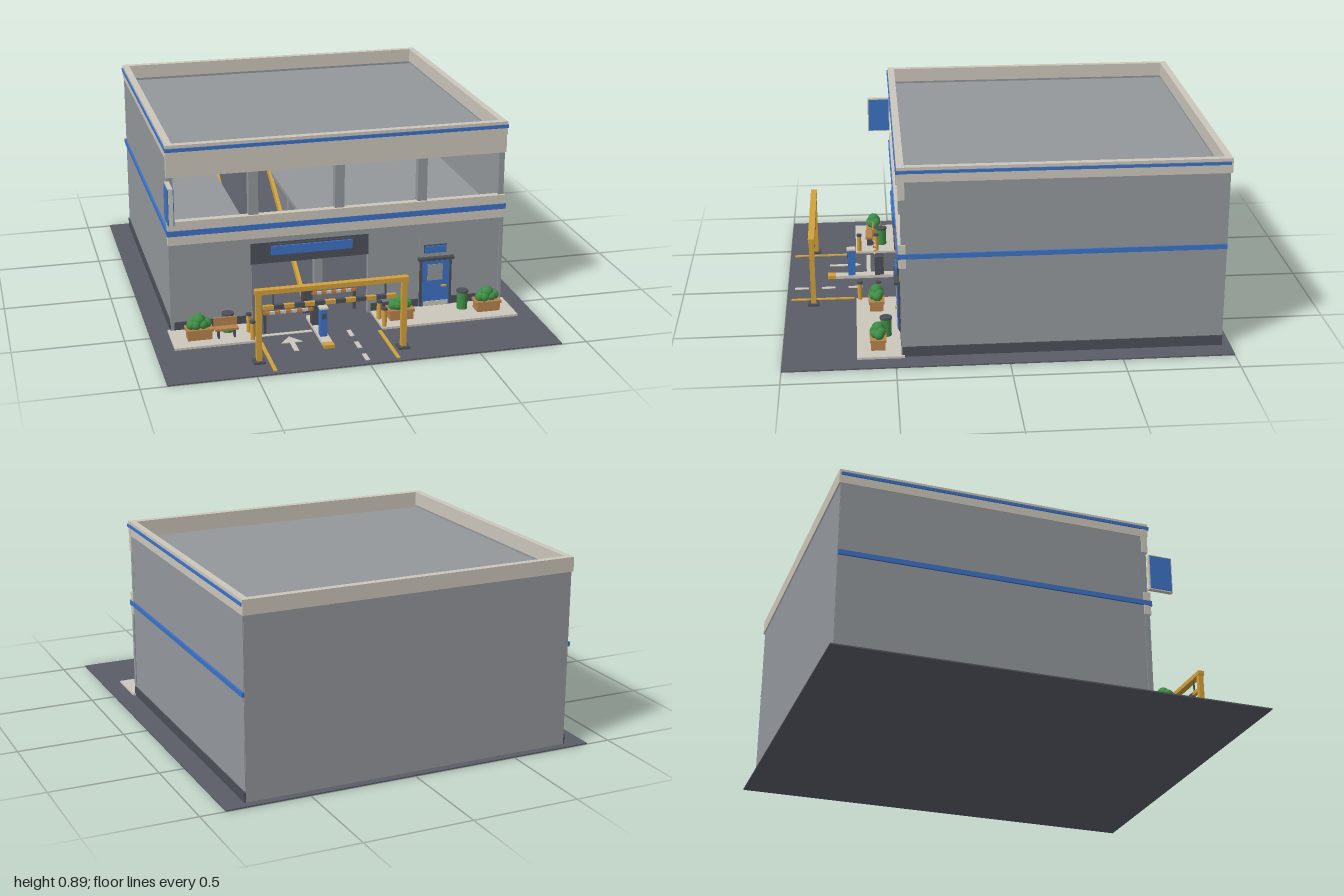
import * as THREE from 'three';

const mat = (name, color, flatShading = false) => {
  const m = new THREE.MeshStandardMaterial({ color, flatShading });
  m.name = name;
  return m;
};

export function createModel() {
  const root = new THREE.Group();
  root.name = 'parkingGarage';
  const cream = mat('cream concrete', 0xcbc6bb);
  const wall = mat('wall grey', 0x93979b);
  const asphalt = mat('asphalt', 0x5a5d66);
  const trim = mat('dark trim', 0x4b4f57);
  const blue = mat('sign blue', 0x3c72c4);
  const ochre = mat('safety ochre', 0xd0a03c);
  const wood = mat('planter brown', 0xb5824c);
  const green = mat('leaf green', 0x3f8f47);
  const orange = mat('barrier orange', 0xc87a35);

  const add = (name, geo, m, parent = root) => {
    const mesh = new THREE.Mesh(geo, m);
    mesh.name = name;
    parent.add(mesh);
    return mesh;
  };
  // box given by its extents
  const box = (name, m, x0, x1, y0, y1, z0, z1, parent = root) => {
    const g = new THREE.BoxGeometry(x1 - x0, y1 - y0, z1 - z0);
    g.translate((x0 + x1) / 2, (y0 + y1) / 2, (z0 + z1) / 2);
    return add(name, g, m, parent);
  };
  const cyl = (name, m, x, y0, y1, z, r, parent = root) => {
    const g = new THREE.CylinderGeometry(r, r, y1 - y0, 16);
    g.translate(x, (y0 + y1) / 2, z);
    return add(name, g, m, parent);
  };
  const group = (name, x = 0, y = 0, z = 0) => {
    const g = new THREE.Group();
    g.name = name;
    g.position.set(x, y, z);
    root.add(g);
    return g;
  };
  // bar split along x into alternating colours
  const stripedBar = (name, x0, x1, y0, y1, z0, z1, n, a, b) => {
    const g = group(name), w = (x1 - x0) / n;
    for (let i = 0; i < n; i++)
      box('stripe', i % 2 ? b : a, x0 + i * w, x0 + (i + 1) * w, y0, y1, z0, z1, g);
  };
  // side profile of (z, y) points extruded from x0 to x1
  const profile = (name, m, pts, x0, x1) => {
    const shape = new THREE.Shape(pts.map(p => new THREE.Vector2(...p)));
    const g = new THREE.ExtrudeGeometry(shape, { depth: x1 - x0, bevelEnabled: false });
    g.rotateY(-Math.PI / 2).translate(x1, 0, 0);
    return add(name, g, m);
  };

  // ground and pavements
  box('ground', asphalt, -0.885, 0.885, 0, 0.006, -1, 1);
  box('rightPavement', cream, -0.8, -0.43, 0.006, 0.016, 0.46, 0.67);
  box('leftPavement', cream, 0.15, 0.8, 0.006, 0.016, 0.46, 0.67);

  // side and back walls with plinth, stripes and parapet
  for (const s of [-1, 1]) {
    const side = (name, m, a, b, y0, y1, z0, z1) =>
      box(name, m, Math.min(s * a, s * b), Math.max(s * a, s * b), y0, y1, z0, z1);
    side('sideWall', wall, 0.76, 0.782, 0.006, 0.825, -0.96, 0.465);
    side('sidePlinth', trim, 0.78, 0.787, 0.006, 0.053, -0.962, 0.47);
    side('sideParapet', cream, 0.755, 0.786, 0.823, 0.89, -0.967, 0.475);
    side('sideUpperStripe', blue, 0.78, 0.791, 0.862, 0.876, -0.962, 0.482);
    side('sideMiddleStripe', blue, 0.78, 0.791, 0.472, 0.494, -0.962, 0.482);
  }
  box('backWall', wall, -0.78, 0.78, 0.006, 0.825, -0.963, -0.94);
  box('backParapet', cream, -0.786, 0.786, 0.823, 0.89, -0.97, -0.938);
  box('roof', wall, -0.765, 0.765, 0.79, 0.812, -0.95, 0.46);

  // front fascias
  box('upperFascia', cream, -0.787, 0.787, 0.742, 0.828, 0.447, 0.476);
  box('frontParapet', cream, -0.788, 0.788, 0.828, 0.89, 0.447, 0.48);
  box('frontUpperStripe', blue, -0.791, 0.791, 0.86, 0.876, 0.47, 0.485);
  box('middleFascia', cream, -0.788, 0.788, 0.427, 0.537, 0.447, 0.48);
  box('frontMiddleStripe', blue, -0.791, 0.791, 0.47, 0.495, 0.47, 0.485);
  for (const x of [-0.77, -0.398, 0, 0.39, 0.77]) {
    const h = Math.abs(x) > 0.7 ? 0.013 : 0.022;
    box('upperPier', wall, x - h, x + h, 0.53, 0.745, 0.43, 0.468);
  }

  // ground floor front with portal
  box('frontWallRight', wall, -0.782, -0.41, 0.006, 0.43, 0.445, 0.468);
  box('frontWallLeft', wall, 0.135, 0.782, 0.006, 0.43, 0.445, 0.468);
  box('wallOverPortal', wall, -0.41, 0.135, 0.4, 0.43, 0.445, 0.468);
  box('frontPlinthRight', trim, -0.785, -0.43, 0.016, 0.053, 0.46, 0.473);
  box('frontPlinthLeft', trim, 0.54, 0.785, 0.016, 0.053, 0.46, 0.473);
  box('frontPlinthMiddle', trim, 0.15, 0.38, 0.016, 0.053, 0.46, 0.473);
  box('wallCap', wall, -0.784, 0.784, 0.4, 0.43, 0.46, 0.472);
  for (const x of [-0.778, 0.778]) box('cornerPilaster', wall, x - 0.008, x + 0.008, 0.016, 0.43, 0.45, 0.474);
  box('stairPanel', wall, 0.382, 0.532, 0.016, 0.4, 0.46, 0.472);
  box('portalHeader', trim, -0.415, 0.135, 0.3, 0.4, 0.44, 0.472);
  box('portalSignFrame', trim, -0.33, 0.065, 0.335, 0.392, 0.47, 0.48);
  box('portalSign', blue, -0.322, 0.056, 0.343, 0.385, 0.475, 0.489);

  // upper floor with ramp opening
  box('floorRight', wall, -0.765, -0.41, 0.43, 0.45, -0.945, 0.45);
  box('floorLeft', wall, -0.135, 0.765, 0.43, 0.45, -0.945, 0.45);
  box('floorBack', wall, -0.41, -0.135, 0.43, 0.45, -0.945, -0.45);
  box('floorFront', wall, -0.41, -0.135, 0.43, 0.45, 0.25, 0.45);

  // ramp with sloping kerbs
  profile('ramp', asphalt, [[0.4, 0.006], [-0.45, 0.45], [-0.45, 0.006]], -0.4, -0.14);
  for (const x of [-0.41, -0.146])
    profile('rampKerb', ochre, [[0.4, 0.006], [0.4, 0.04], [-0.45, 0.485], [-0.45, 0.45]], x, x + 0.016);
  for (const x of [0, 0.4]) for (const z of [-0.5, 0.05])
    box('innerColumn', wall, x - 0.02, x + 0.02, 0.006, 0.43, z - 0.02, z + 0.02);

  // staff door, canopy and sign
  const door = group('door');
  box('doorFrame', trim, 0.382, 0.538, 0.016, 0.25, 0.465, 0.478, door);
  box('doorCanopy', trim, 0.373, 0.545, 0.246, 0.26, 0.465, 0.495, door);
  box('doorLeaf', blue, 0.396, 0.525, 0.018, 0.24, 0.47, 0.483, door);
  box('doorWindow', wall, 0.418, 0.492, 0.146, 0.225, 0.48, 0.486, door);
  box('kickPlate', cream, 0.4, 0.52, 0.02, 0.042, 0.48, 0.486, door);
  box('doorHandle', ochre, 0.485, 0.51, 0.112, 0.12, 0.48, 0.492, door);
  box('doorSignFrame', trim, 0.402, 0.51, 0.28, 0.32, 0.468, 0.48, door);
  box('doorSign', blue, 0.406, 0.506, 0.284, 0.316, 0.475, 0.488, door);

  // projecting blade sign
  box('bladeSign', cream, -0.796, -0.776, 0.552, 0.728, 0.475, 0.588);
  for (const x of [-0.8, -0.776]) box('bladeSignFace', blue, x, x + 0.004, 0.558, 0.722, 0.48, 0.583);

  // height gantry with hanging bar
  const gantry = group('heightGantry');
  for (const x of [-0.465, 0.185]) {
    box('gantryPost', ochre, x - 0.012, x + 0.012, 0.006, 0.33, 0.86, 0.884, gantry);
    box('gantryBase', trim, x - 0.026, x + 0.026, 0.006, 0.016, 0.846, 0.898, gantry);
  }
  box('gantryBeam', ochre, -0.482, 0.202, 0.324, 0.345, 0.857, 0.887, gantry);
  for (const x of [-0.4, 0.1]) box('hanger', trim, x - 0.003, x + 0.003, 0.27, 0.326, 0.869, 0.875, gantry);
  stripedBar('hangingBar', -0.445, 0.148, 0.25, 0.268, 0.863, 0.881, 13, ochre, trim);

  // ticket island, kiosk and barriers
  box('island', cream, -0.157, -0.11, 0.006, 0.02, 0.46, 0.77);
  box('islandNose', ochre, -0.157, -0.11, 0.006, 0.022, 0.77, 0.808);
  box('kiosk', blue, -0.15, -0.117, 0.02, 0.15, 0.672, 0.708);
  box('kioskCap', cream, -0.153, -0.114, 0.15, 0.158, 0.668, 0.712);
  box('kioskScreen', trim, -0.144, -0.123, 0.105, 0.13, 0.705, 0.711);
  for (const [z, x0, x1, rest] of [[0.575, -0.38, -0.15, -0.375], [0.4, -0.115, 0.095, 0.09]]) {
    const hz = z - 0.02;
    box('barrierHousing', trim, -0.156, -0.112, 0.006, 0.115, hz - 0.022, hz + 0.022);
    stripedBar('barrierArm', x0, x1, 0.094, 0.107, z - 0.005, z + 0.005, 9, orange, cream);
    box('armRest', trim, rest - 0.006, rest + 0.006, 0.006, 0.094, z - 0.006, z + 0.006);
  }

  // bollards
  for (const x of [-0.447, 0.163]) for (const z of [0.565, 0.652]) {
    cyl('bollard', ochre, x, 0.006, 0.096, z, 0.011);
    cyl('bollardCap', trim, x, 0.096, 0.106, z, 0.013);
  }

  // road markings
  for (const x of [-0.415, 0.133]) box('laneEdge', ochre, x - 0.008, x + 0.008, 0.006, 0.011, 0.68, 0.98);
  for (const z of [0.64, 0.77, 0.9]) box('laneDash', cream, -0.012, 0.008, 0.006, 0.009, z, z + 0.067);
  box('stopLine', cream, -0.4, -0.165, 0.006, 0.009, 0.597, 0.617);
  const arrow = new THREE.Shape([[-0.011, -0.8], [0.011, -0.8], [0.011, -0.71], [0.05, -0.71], [0, -0.645],
    [-0.05, -0.71], [-0.011, -0.71]].map(p => new THREE.Vector2(...p)));
  const arrowGeo = new THREE.ExtrudeGeometry(arrow, { depth: 0.003, bevelEnabled: false });
  add('laneArrow', arrowGeo.rotateX(-Math.PI / 2).translate(-0.28, 0.006, 0), cream);

  // planters with leafy clumps
  for (const x of [-0.675, 0.26, 0.68]) {
    const p = group('planter', x, 0, 0.575);
    box('planterBox', wood, -0.055, 0.055, 0.016, 0.06, -0.032, 0.032, p);
    box('planterRim', wood, -0.061, 0.061, 0.054, 0.066, -0.037, 0.037, p);
    for (const [bx, by, bz, r] of [[-0.035, 0.083, 0.006, 0.024], [0.035, 0.083, -0.004, 0.024],
      [0, 0.102, 0, 0.029], [-0.017, 0.082, 0.014, 0.023], [0.018, 0.084, 0.013, 0.022],
      [-0.018, 0.09, -0.013, 0.023], [0.018, 0.09, -0.012, 0.024]])
      add('leafClump', new THREE.IcosahedronGeometry(r, 1).translate(bx, by, bz), green, p);
  }

  // bench
  const bench = group('bench');
  box('benchSeat', wood, -0.609, -0.503, 0.054, 0.064, 0.578, 0.618, bench);
  box('benchBack', wood, -0.609, -0.503, 0.066, 0.105, 0.576, 0.584, bench);
  for (const x of [-0.595, -0.522]) box('benchLeg', trim, x, x + 0.008, 0.016, 0.06, 0.582, 0.612, bench);

  // litter bins
  for (const x of [-0.537, 0.573]) {
    cyl('bin', green, x, 0.016, 0.098, 0.537, 0.025);
    cyl('binLid', trim, x, 0.098, 0.106, 0.537, 0.028);
  }
  return root;
}
